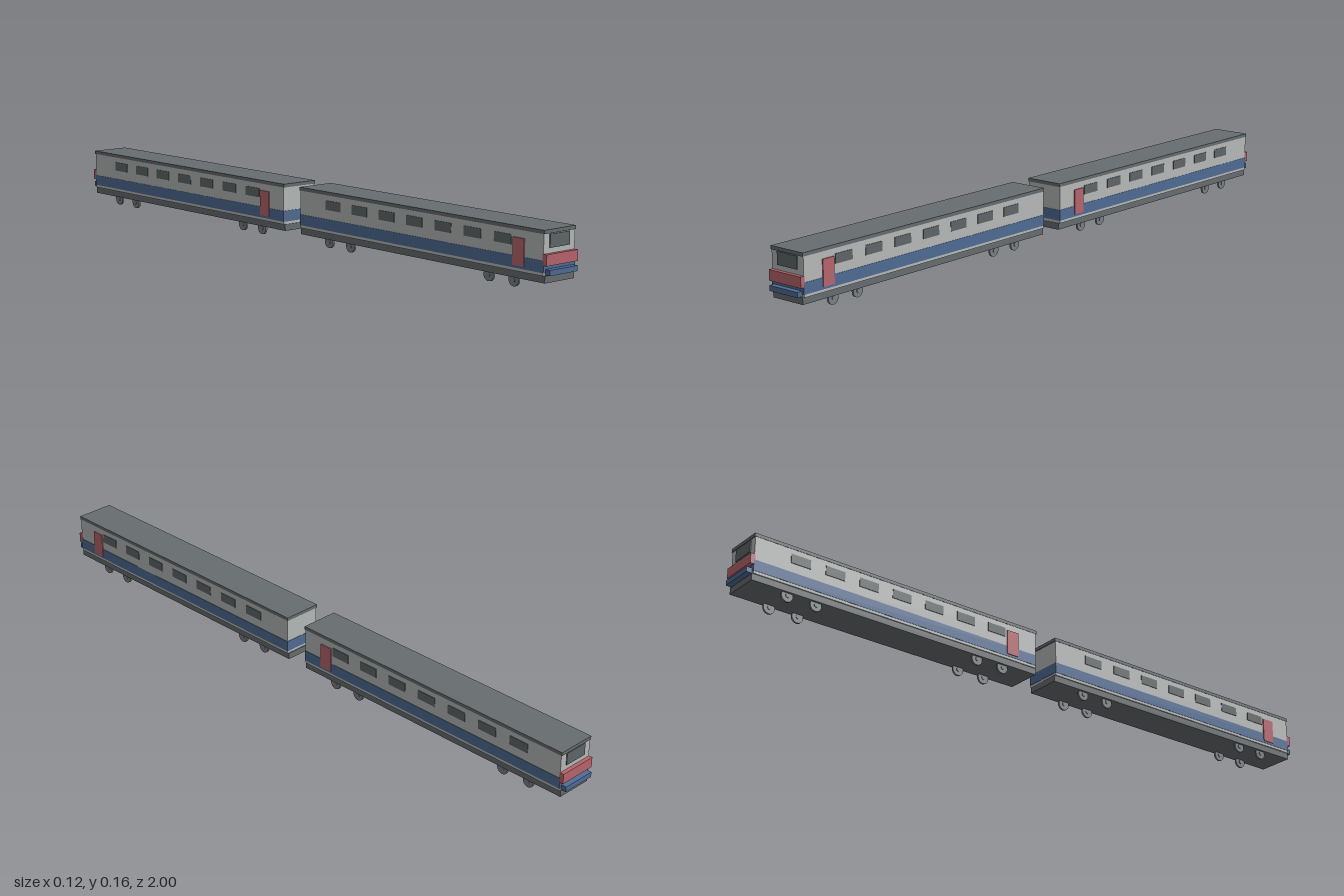
import * as THREE from 'three';

const paint = (name, color) => {
  const m = new THREE.MeshStandardMaterial({ color });
  m.name = name;
  return m;
};

export function createModel() {
  const silver = paint('silver body', 0xb6bab8);
  const slate = paint('slate roof', 0x676d6f);
  const glass = paint('dark glass', 0x5f6768);
  const blue = paint('blue band', 0x4f6c94);
  const red = paint('red trim', 0xb7656c);
  const steel = paint('wheel steel', 0x7b8082);

  // box given by its size, bottom height and centre
  function box(parent, name, mat, w, y0, y1, d, x = 0, z = 0) {
    const mesh = new THREE.Mesh(new THREE.BoxGeometry(w, y1 - y0, d), mat);
    mesh.name = name;
    mesh.position.set(x, (y0 + y1) / 2, z);
    parent.add(mesh);
  }

  function wheel(parent, x, z) {
    const g = new THREE.Group();
    g.name = 'wheel';
    const tread = new THREE.CylinderGeometry(0.018, 0.018, 0.006, 20).rotateZ(Math.PI / 2);
    const hub = new THREE.CylinderGeometry(0.006, 0.006, 0.01, 12).rotateZ(Math.PI / 2);
    const tyre = new THREE.Mesh(tread, steel);
    tyre.name = 'wheelDisc';
    const cap = new THREE.Mesh(hub, steel);
    cap.name = 'wheelHub';
    g.add(tyre, cap);
    g.position.set(x, 0.018, z);
    parent.add(g);
  }

  // one carriage; cab is +1 or -1 for the end that carries the driver's face
  function carriage(name, cab) {
    const car = new THREE.Group();
    car.name = name;
    box(car, 'underframe', slate, 0.11, 0.026, 0.045, 0.95);
    box(car, 'body', silver, 0.117, 0.045, 0.154, 0.945);
    box(car, 'lowerBand', blue, 0.119, 0.053, 0.085, 0.947);
    box(car, 'roof', slate, 0.119, 0.154, 0.164, 0.95);

    for (const side of [-1, 1]) {
      // seven side windows and one door
      for (let i = -3; i <= 3; i++)
        box(car, 'sideWindow', glass, 0.003, 0.112, 0.139, 0.062, side * 0.0587, i * 0.11);
      box(car, 'door', red, 0.004, 0.06, 0.134, 0.04, side * 0.0597, 0.387);
      // two pairs of axles
      for (const bogie of [-0.315, 0.315])
        for (const dz of [-0.045, 0.045]) wheel(car, side * 0.045, bogie + dz);
    }

    // cab face: windscreen, nose panel and bumper
    box(car, 'windscreen', glass, 0.074, 0.116, 0.152, 0.004, 0, cab * 0.473);
    box(car, 'nosePanel', red, 0.118, 0.072, 0.102, 0.014, 0, cab * 0.477);
    box(car, 'bumper', blue, 0.104, 0.047, 0.062, 0.02, 0, cab * 0.48);

    car.position.z = cab * 0.51;
    return car;
  }

  const train = new THREE.Group();
  train.name = 'train';
  train.add(carriage('frontCarriage', 1), carriage('rearCarriage', -1));
  return train;
}
